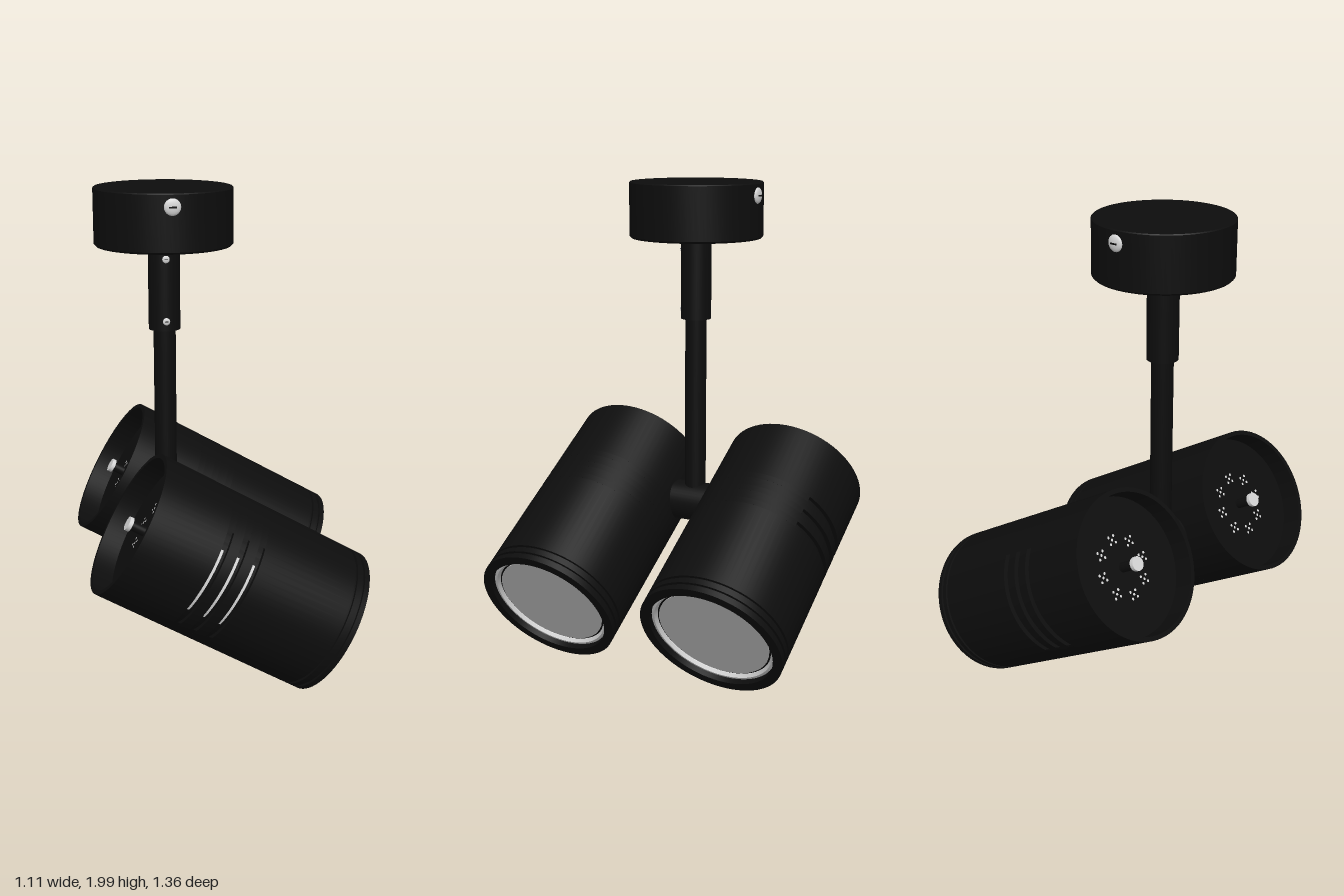
import * as THREE from 'three';
import { mergeGeometries, toCreasedNormals } from 'three/addons/utils/BufferGeometryUtils.js';

const material = (name, color, side = THREE.FrontSide) => {
  const m = new THREE.MeshStandardMaterial({ color, side });
  m.name = name;
  return m;
};

export function createModel() {
  const black = material('matte black', 0x0d0d0d, THREE.DoubleSide);
  const steel = material('light steel', 0xd8d8d8);
  const glass = material('frosted glass', 0xc4c4c4);

  const add = (parent, name, geometry, mat, x = 0, y = 0, z = 0) => {
    const mesh = new THREE.Mesh(geometry, mat);
    mesh.name = name;
    mesh.position.set(x, y, z);
    parent.add(mesh);
    return mesh;
  };
  const lathe = (points, start = 0, length = Math.PI * 2) => toCreasedNormals(
    new THREE.LatheGeometry(points.map(([r, y]) => new THREE.Vector2(r, y)), 72, start, length), 0.5);
  const rod = (r, h) => new THREE.CylinderGeometry(r, r, h, 40);
  // Closed ring section of the lamp housing
  const ring = (y0, y1, start, length, ri = 0.284, ro = 0.302) =>
    lathe([[ri, y0], [ro, y0], [ro, y1], [ri, y1], [ri, y0]], start, length);

  const model = new THREE.Group();
  model.name = 'twinSpotlight';
  const X = -0.205;

  // Ceiling canopy, sleeve, stem and cross bar
  add(model, 'canopy', lathe([[0, 1.77], [0.27, 1.77], [0.278, 1.778], [0.278, 1.996], [0.274, 2], [0, 2]]), black, X);
  add(model, 'sleeve', rod(0.064, 0.35), black, X, 1.605);
  add(model, 'stem', rod(0.045, 0.9), black, X, 1.05);
  add(model, 'crossBar', rod(0.085, 0.3), black, X, 0.623).rotation.x = Math.PI / 2;

  // Domed screws, facing +z or -z
  const screw = (name, r, y, z) => {
    const dome = new THREE.SphereGeometry(r, 20, 12);
    dome.scale(1, 1, 0.35);
    add(model, name, dome, steel, X, y, z);
    const slot = new THREE.BoxGeometry(r * 0.9, r * 0.18, 0.004);
    add(model, name + 'Slot', slot, black, X, y, z + Math.sign(z) * r * 0.34);
  };
  for (const s of [1, -1]) screw('canopyScrew', 0.033, 1.95, s * 0.278);
  for (const y of [1.72, 1.47]) screw('sleeveScrew', 0.015, y, 0.066);

  // Lamp heads: local +y points out of the lens, the vents face local +z
  const SLOTS = [-0.16, -0.09, -0.02], half = 0.014, vent = 0.75;
  const makeLamp = () => {
    const lamp = new THREE.Group();
    let from = -0.468;
    for (const y of SLOTS) {
      add(lamp, 'housingBand', ring(from, y - half), black);
      add(lamp, 'ventedBand', ring(y - half, y + half, vent, Math.PI * 2 - vent * 2), black);
      add(lamp, 'ventGleam', ring(y - 0.005, y + 0.005, -0.5, 1, 0.276, 0.28), steel);
      from = y + half;
    }
    // Front housing with two grooves and a thick lip
    add(lamp, 'frontHousing', lathe([
      [0.284, from], [0.302, from], [0.302, 0.4], [0.291, 0.4], [0.291, 0.412], [0.302, 0.412],
      [0.302, 0.434], [0.291, 0.434], [0.291, 0.446], [0.302, 0.446], [0.302, 0.468],
      [0.262, 0.468], [0.262, 0.4], [0.284, 0.4], [0.284, from]]), black);
    add(lamp, 'innerCore', rod(0.275, 0.76), black, 0, 0.01);

    // Lens and its retaining ring
    add(lamp, 'lensRing', lathe([[0.262, 0.4], [0.262, 0.443], [0.25, 0.446], [0.241, 0.434], [0.241, 0.4]]), steel);
    add(lamp, 'lensGroove', ring(0.4, 0.431, 0, Math.PI * 2, 0.233, 0.241), black);
    add(lamp, 'lens', rod(0.234, 0.035), glass, 0, 0.418);

    // Recessed rear plate with perforations and a cable plug
    add(lamp, 'rearPlate', rod(0.285, 0.014), black, 0, -0.373);
    const dots = [];
    for (let k = 0; k < 8; k++) {
      const a = (k / 8) * Math.PI * 2;
      for (let i = -1; i <= 1; i++) for (let j = -1; j <= 1; j++) {
        if ((i + j) % 2) continue;
        const dot = new THREE.CircleGeometry(0.006, 8);
        dot.rotateX(Math.PI / 2);
        dot.translate(0.115 * Math.cos(a) + i * 0.014, -0.382, 0.115 * Math.sin(a) + j * 0.014);
        dots.push(dot);
      }
    }
    add(lamp, 'perforations', mergeGeometries(dots), steel);
    add(lamp, 'cableStem', rod(0.02, 0.08), black, 0, -0.42);
    add(lamp, 'cablePlug', rod(0.029, 0.016), steel, 0, -0.462);
    return lamp;
  };

  for (const s of [1, -1]) {
    const lamp = makeLamp();
    lamp.name = s > 0 ? 'frontLamp' : 'backLamp';
    lamp.position.set(0, 0.505, s * 0.378);
    lamp.rotation.set(0, s > 0 ? 0 : Math.PI, -Math.PI * 2 / 3, 'ZYX');
    model.add(lamp);
  }
  return model;
}
